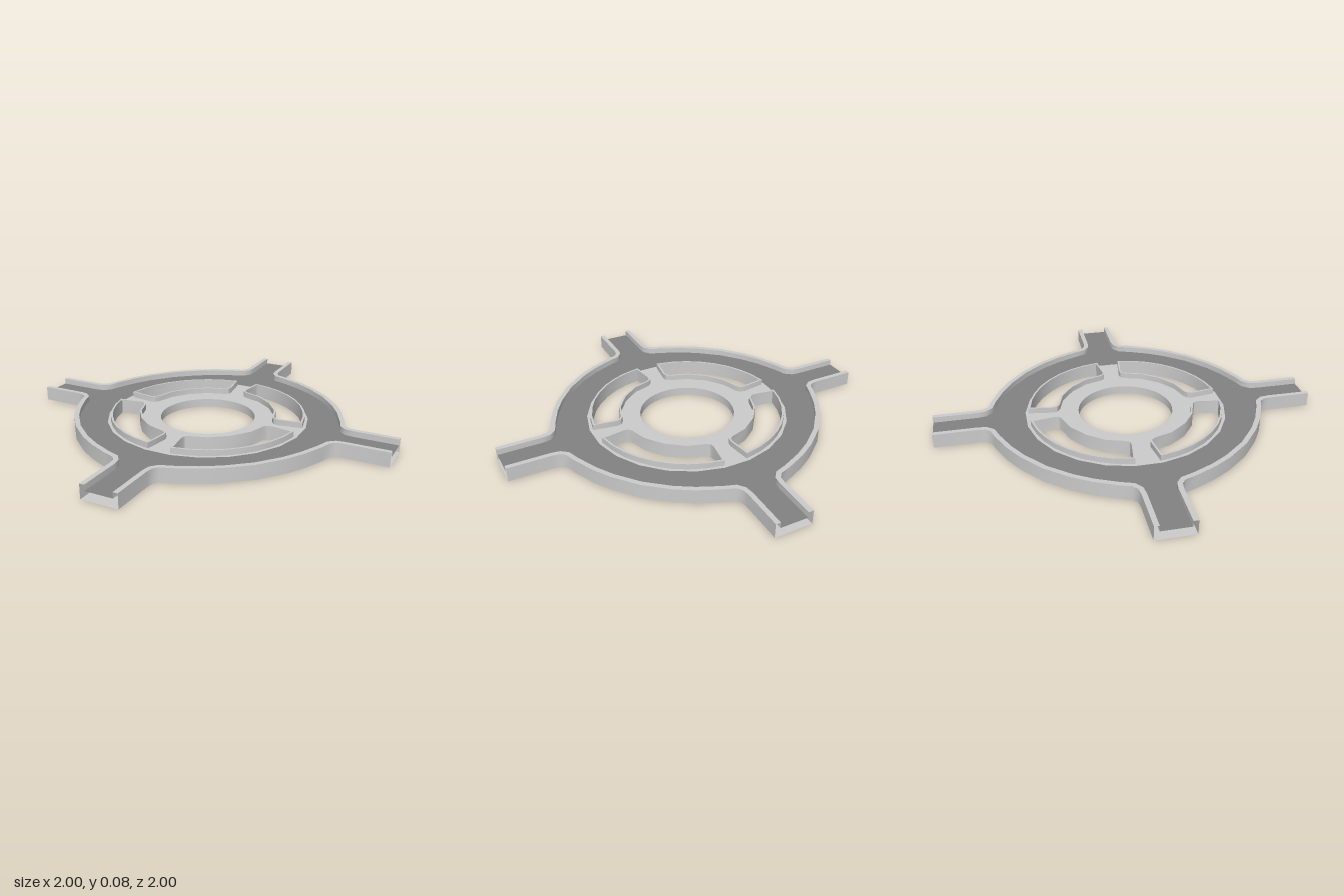
import * as THREE from 'three';
import { toCreasedNormals } from 'three/addons/utils/BufferGeometryUtils.js';

const KERB = 0.075, DECK = 0.045; // heights
const grey = new THREE.MeshStandardMaterial({ color: 0xcccccc, side: THREE.DoubleSide });
const dark = new THREE.MeshStandardMaterial({ color: 0x828282, side: THREE.DoubleSide });

// Points are [x, z]; a quarter turn about y
const turn = (pts, k) => {
  for (let i = 0; i < k; i++) pts = pts.map(([x, z]) => [z, -x]);
  return pts;
};
const fourTimes = (pts) => [0, 1, 2, 3].flatMap((k) => turn(pts, k));
const mirrored = (pts) => pts.map(([x, z]) => [z, x]).reverse();
const arc = (r, a0, a1, n) => Array.from({ length: n + 1 }, (_, i) => {
  const a = THREE.MathUtils.degToRad(a0 + (a1 - a0) * i / n);
  return [r * Math.cos(a), r * Math.sin(a)];
});
const circle = (r, n) => arc(r, 0, 360, n).slice(0, n);

// Mitred parallel path
function offset(pts, w, closed) {
  const n = pts.length;
  const normal = (i) => {
    const [a, b] = [pts[(i + n) % n], pts[(i + 1) % n]];
    const l = Math.hypot(b[0] - a[0], b[1] - a[1]);
    return [-(b[1] - a[1]) / l, (b[0] - a[0]) / l];
  };
  return pts.map(([x, z], i) => {
    const p = normal(!closed && i === 0 ? 0 : i - 1);
    const q = normal(!closed && i === n - 1 ? i - 1 : i);
    const s = w / (1 + p[0] * q[0] + p[1] * q[1]);
    return [x - (p[0] + q[0]) * s, z - (p[1] + q[1]) * s];
  });
}

// Skin between successive [path, height] rails
function skin(rails, closed) {
  const pos = [];
  for (let r = 0; r + 1 < rails.length; r++) {
    const [[A, ya], [B, yb]] = [rails[r], rails[r + 1]];
    const n = A.length;
    for (let i = 0; i < (closed ? n : n - 1); i++) {
      const j = (i + 1) % n;
      const a = [A[i][0], ya, A[i][1]], b = [A[j][0], ya, A[j][1]];
      const c = [B[j][0], yb, B[j][1]], d = [B[i][0], yb, B[i][1]];
      pos.push(...a, ...b, ...c, ...a, ...c, ...d);
    }
  }
  const g = new THREE.BufferGeometry();
  g.setAttribute('position', new THREE.Float32BufferAttribute(pos, 3));
  return toCreasedNormals(g, 0.6);
}

// Flat sheet with holes, facing up or down
function sheet(outline, holes, y, up) {
  const vec = (pts) => pts.map(([x, z]) => new THREE.Vector2(x, up ? -z : z));
  const s = new THREE.Shape(vec(outline));
  s.holes = holes.map((h) => new THREE.Path(vec(h)));
  return new THREE.ShapeGeometry(s).rotateX(up ? -Math.PI / 2 : Math.PI / 2).translate(0, y, 0);
}

export function createModel() {
  const model = new THREE.Group();
  const add = (name, geometry, material = grey) => {
    const m = new THREE.Mesh(geometry, material);
    m.name = name;
    model.add(m);
    return m;
  };

  // Outer edge of one quadrant, from arm end to arm end
  const half = [[0.097, 1], [0.097, 0.775], [0.102, 0.74], [0.122, 0.715],
    [0.18, 0.695], [0.29, 0.645], [0.38, 0.59]];
  const edge = [...half, [0.495, 0.495], ...mirrored(half)];
  const edgeIn = offset(edge, 0.025, false);

  // Opening of one quadrant between ring and road
  const inner = [[0.053, 0.385], [0.057, 0.363], [0.076, 0.35], [0.165, 0.322]];
  const opening = [...arc(0.502, 8, 82, 8), ...inner, [0.255, 0.255], ...mirrored(inner)];
  const openingOut = offset(opening, 0.01, true);

  const centre = circle(0.25, 40);
  const border = arc(0.53, 7.5, 367.5, 24).slice(0, 24);
  const quads = [0, 1, 2, 3];

  // Flat surfaces
  add('roadSurface', sheet(fourTimes(edgeIn), [border], DECK, true), dark);
  add('islandSurface', sheet(border, [centre, ...quads.map((k) => turn(openingOut, k))], DECK, true));
  add('underside', sheet(fourTimes(edge), [centre, ...quads.map((k) => turn(opening, k))], 0, false));
  add('centreHoleWall', skin([[centre, DECK], [centre, 0]].reverse().map(([p, y]) => [[...p].reverse(), y]), true));

  // Kerbs and opening rims, the arm ends left open
  const kerb = skin([[edge, 0], [edge, KERB], [edgeIn, KERB], [edgeIn, DECK]], false);
  const rim = skin([[opening, 0], [opening, KERB], [openingOut, KERB], [openingOut, DECK]], true);
  for (const k of quads) {
    add('outerKerb' + (k + 1), kerb).rotation.y = k * Math.PI / 2;
    add('openingRim' + (k + 1), rim).rotation.y = k * Math.PI / 2;
  }
  return model;
}
